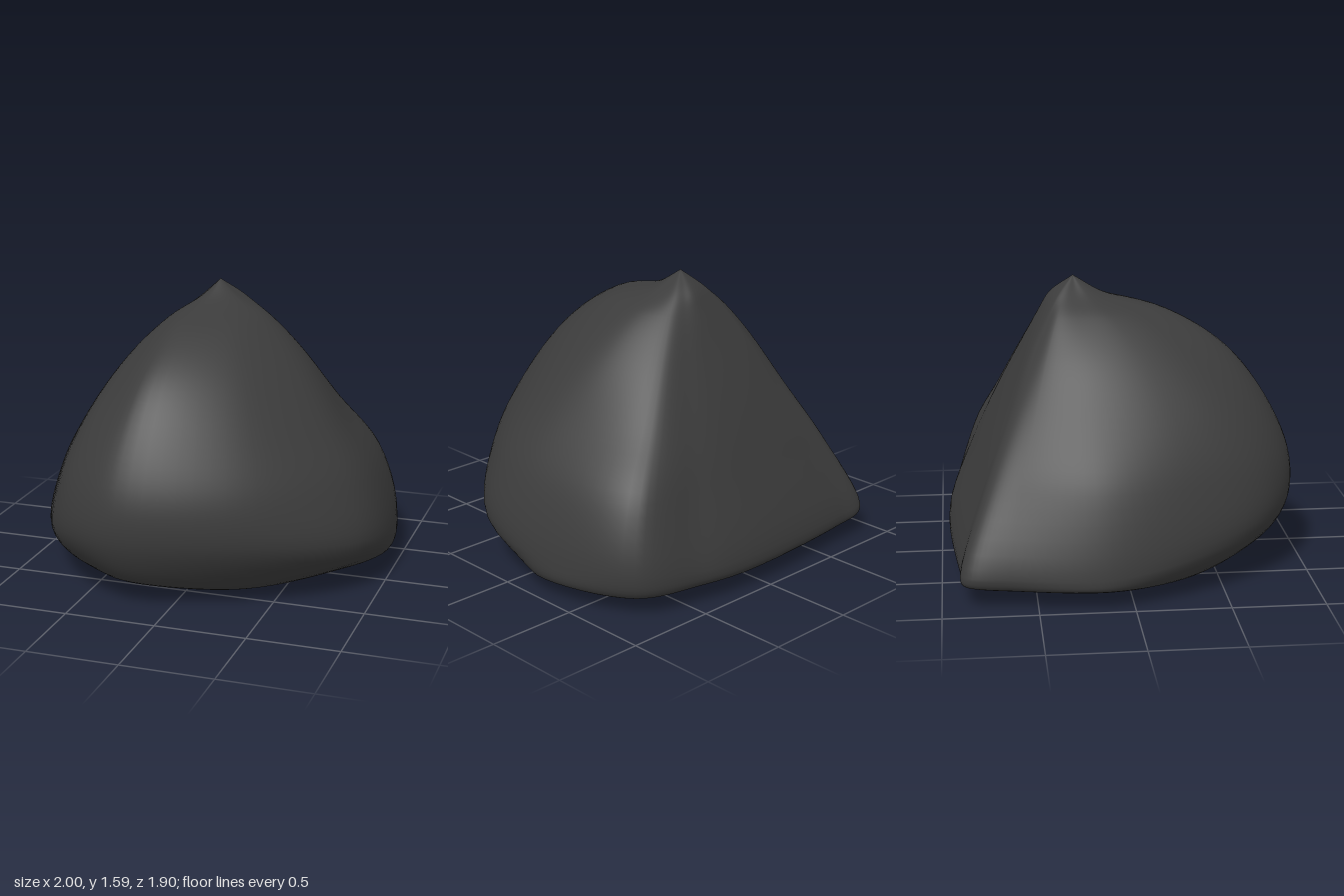
import * as THREE from 'three';
import { mergeVertices } from 'three/addons/utils/BufferGeometryUtils.js';

const APEX = new THREE.Vector3(-0.05, 1.595, -0.25);
const BOTTOM = new THREE.Vector3(0.15, 0.005, 0.2);
const LEVELS = [0.6, 0.9, 1.2, 1.4, 1.5];

// Ribs around the peak axis: direction x, z; base rim radius, height;
// bulge radius, height; then the radius at each of LEVELS
const RIBS = [
  [-0.85, -0.64, 1.03, 0.12, 1.05, 0.18, 0.81, 0.60, 0.39, 0.23, 0.13], // sharp back corner
  [-0.65, -0.65, 0.90, 0.10, 0.92, 0.17, 0.72, 0.55, 0.37, 0.22, 0.13],
  [0.15, -0.71, 0.70, 0.10, 0.72, 0.19, 0.57, 0.44, 0.29, 0.19, 0.13],
  [0.50, -0.68, 0.81, 0.11, 0.84, 0.20, 0.68, 0.52, 0.34, 0.21, 0.13],
  [0.87, -0.55, 0.99, 0.11, 1.03, 0.25, 0.92, 0.67, 0.43, 0.25, 0.14], // blunt back corner
  [1.04, 0.05, 1.01, 0.10, 1.04, 0.24, 0.94, 0.73, 0.51, 0.30, 0.13],
  [0.95, 0.53, 0.84, 0.06, 1.09, 0.27, 1.02, 0.83, 0.58, 0.34, 0.14],
  [0.45, 0.99, 0.87, 0.07, 1.08, 0.34, 1.08, 0.94, 0.71, 0.44, 0.15],
  [-0.19, 1.20, 1.05, 0.14, 1.19, 0.36, 1.20, 1.08, 0.85, 0.53, 0.17], // front bulge
  [-0.55, 1.05, 0.94, 0.10, 1.15, 0.33, 1.14, 0.99, 0.71, 0.42, 0.15],
  [-0.80, 0.65, 0.89, 0.08, 1.02, 0.25, 0.95, 0.79, 0.55, 0.31, 0.12],
  [-0.95, 0.13, 0.94, 0.11, 0.96, 0.18, 0.84, 0.65, 0.44, 0.24, 0.10],
  [-0.895, -0.40, 0.95, 0.11, 0.98, 0.18, 0.80, 0.61, 0.41, 0.24, 0.12],
];

// Smooth curve up one rib, from the underside to the peak
function ribCurve([dx, dz, rimR, rimY, bulgeR, bulgeY, ...radii]) {
  const len = Math.hypot(dx, dz);
  const at = (r, y) => new THREE.Vector3(APEX.x + (dx / len) * r, y, APEX.z + (dz / len) * r);
  const rim = at(rimR, rimY);
  return new THREE.CatmullRomCurve3([
    BOTTOM,
    BOTTOM.clone().lerp(rim, 0.65),
    rim,
    at(bulgeR, bulgeY),
    ...radii.map((r, i) => at(r, LEVELS[i])),
    APEX,
  ]);
}

// Loft closed rings through the ribs
function rockGeometry(around = 104, up = 54) {
  const curves = RIBS.map(ribCurve);
  const positions = [];
  const index = [];
  for (let j = 0; j <= up; j++) {
    const ring = new THREE.CatmullRomCurve3(curves.map((c) => c.getPoint(j / up)), true);
    for (let i = 0; i < around; i++) {
      const p = j === 0 ? BOTTOM : j === up ? APEX : ring.getPoint(i / around);
      positions.push(p.x, Math.max(p.y, 0), p.z);
      if (j === up) continue;
      const a = j * around + i;
      const b = j * around + ((i + 1) % around);
      if (j < up - 1) index.push(a, a + around, b + around);
      if (j > 0) index.push(a, b + around, b);
      if (j === up - 1) index.push(a, a + around, b);
    }
  }
  const geometry = new THREE.BufferGeometry();
  geometry.setAttribute('position', new THREE.Float32BufferAttribute(positions, 3));
  geometry.setIndex(index);
  const welded = mergeVertices(geometry);
  welded.computeVertexNormals();
  return welded;
}

export function createModel() {
  const group = new THREE.Group();
  group.name = 'boulder';
  const rock = new THREE.Mesh(rockGeometry(), new THREE.MeshStandardMaterial({ color: 0x3c3c3c }));
  rock.name = 'rock';
  group.add(rock);
  return group;
}
